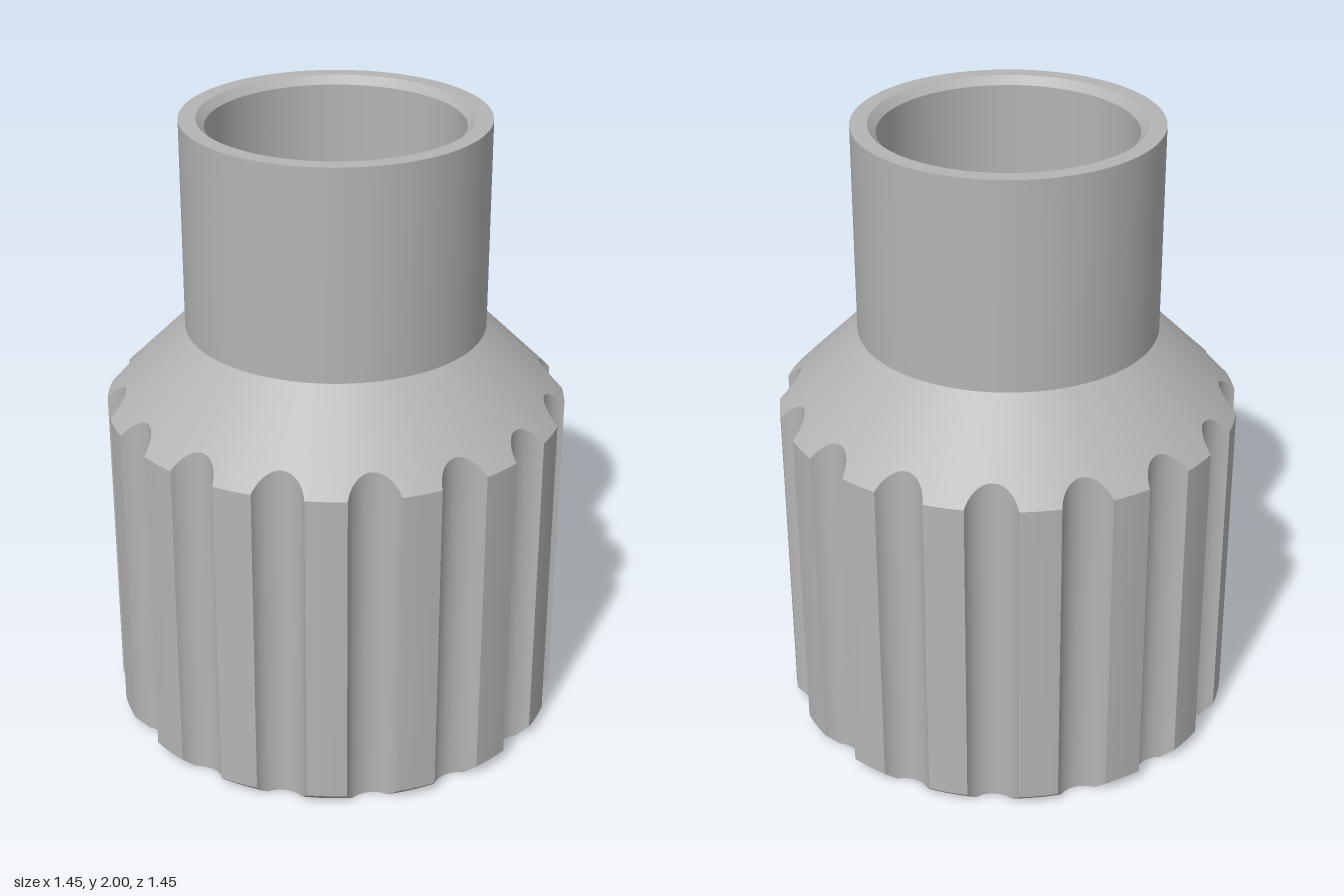
import * as THREE from 'three';
import { toCreasedNormals } from 'three/addons/utils/BufferGeometryUtils.js';

const FLUTES = 16;
const R = 0.728;         // grip radius
const R_BASE = 0.69;     // radius at the foot of the bottom chamfer
const CHAMFER = 0.036;   // bottom chamfer height
const SHOULDER = 1.08;   // height where the 45 degree shoulder starts
const NECK = 0.473;      // neck radius
const NECK_Y = SHOULDER + R - NECK;
const CUT = 0.085;       // radius of each flute
const CUT_POS = 0.752;   // distance of the flute's centre from the axis

// Angle around a flute's circle at which it reaches radius r
const fluteAngle = (r) =>
  Math.acos((CUT_POS ** 2 + CUT ** 2 - r * r) / (2 * CUT_POS * CUT));

// Outline of the grip: a list of { t: angle, r: radius }, closed
function outline() {
  const wide = fluteAngle(R), mid = fluteAngle(R_BASE);
  const stops = [-wide, -mid, mid, wide], steps = [5, 8, 5];
  const flute = [];
  steps.forEach((n, k) => {
    for (let i = k ? 1 : 0; i <= n; i++) {
      const a = stops[k] + ((stops[k + 1] - stops[k]) * i) / n;
      const u = CUT_POS - CUT * Math.cos(a), v = CUT * Math.sin(a);
      flute.push({ t: Math.atan2(v, u), r: Math.min(R, Math.hypot(u, v)) });
    }
  });
  const pitch = (Math.PI * 2) / FLUTES;
  const edge = flute[flute.length - 1].t;
  const columns = [];
  for (let f = 0; f < FLUTES; f++) {
    for (const p of flute) columns.push({ t: p.t + f * pitch, r: p.r });
    // land between two flutes
    for (let i = 1; i < 4; i++) {
      columns.push({ t: f * pitch + edge + ((pitch - 2 * edge) * i) / 4, r: R });
    }
  }
  return columns;
}

// Skin a closed ring of columns; profile(column) gives its [radius, y] points
function loft(columns, profile) {
  const grid = columns.map((c) =>
    profile(c).map(([r, y]) => new THREE.Vector3(r * Math.sin(c.t), y, r * Math.cos(c.t))));
  const pos = [];
  const tri = (a, b, c) => {
    if (a.distanceTo(b) < 1e-6 || b.distanceTo(c) < 1e-6 || c.distanceTo(a) < 1e-6) return;
    for (const p of [a, b, c]) pos.push(p.x, p.y, p.z);
  };
  grid.forEach((low, i) => {
    const next = grid[(i + 1) % grid.length];
    for (let j = 0; j < low.length - 1; j++) {
      tri(low[j], next[j], next[j + 1]);
      tri(low[j], next[j + 1], low[j + 1]);
    }
  });
  const geometry = new THREE.BufferGeometry();
  geometry.setAttribute('position', new THREE.Float32BufferAttribute(pos, 3));
  return toCreasedNormals(geometry, Math.PI / 6);
}

export function createModel() {
  const group = new THREE.Group();
  const grey = new THREE.MeshStandardMaterial({ color: 0xb4b4b4 });
  grey.name = 'grey';
  const columns = outline();
  const add = (name, profile) => {
    const mesh = new THREE.Mesh(loft(columns, profile), grey);
    mesh.name = name;
    group.add(mesh);
  };

  // Fluted grip: underside, chamfer, side and sloped shoulder
  add('flutedGrip', ({ r }) => {
    const base = Math.min(r, R_BASE);
    return [
      [0.475, 0],
      [base, 0],
      [r, ((r - base) / (R - R_BASE)) * CHAMFER],
      [r, SHOULDER + R - r],
      [NECK, NECK_Y],
    ];
  });

  // Neck with its flat rim
  add('neck', () => [[NECK, NECK_Y], [NECK, 2], [0.42, 2]]);

  // Bore: chamfered at both ends, wider in the grip than in the neck
  add('bore', () => [
    [0.42, 2], [0.395, 1.975], [0.395, 1.255],
    [0.45, 1.2], [0.45, 0.025], [0.475, 0],
  ]);

  return group;
}
